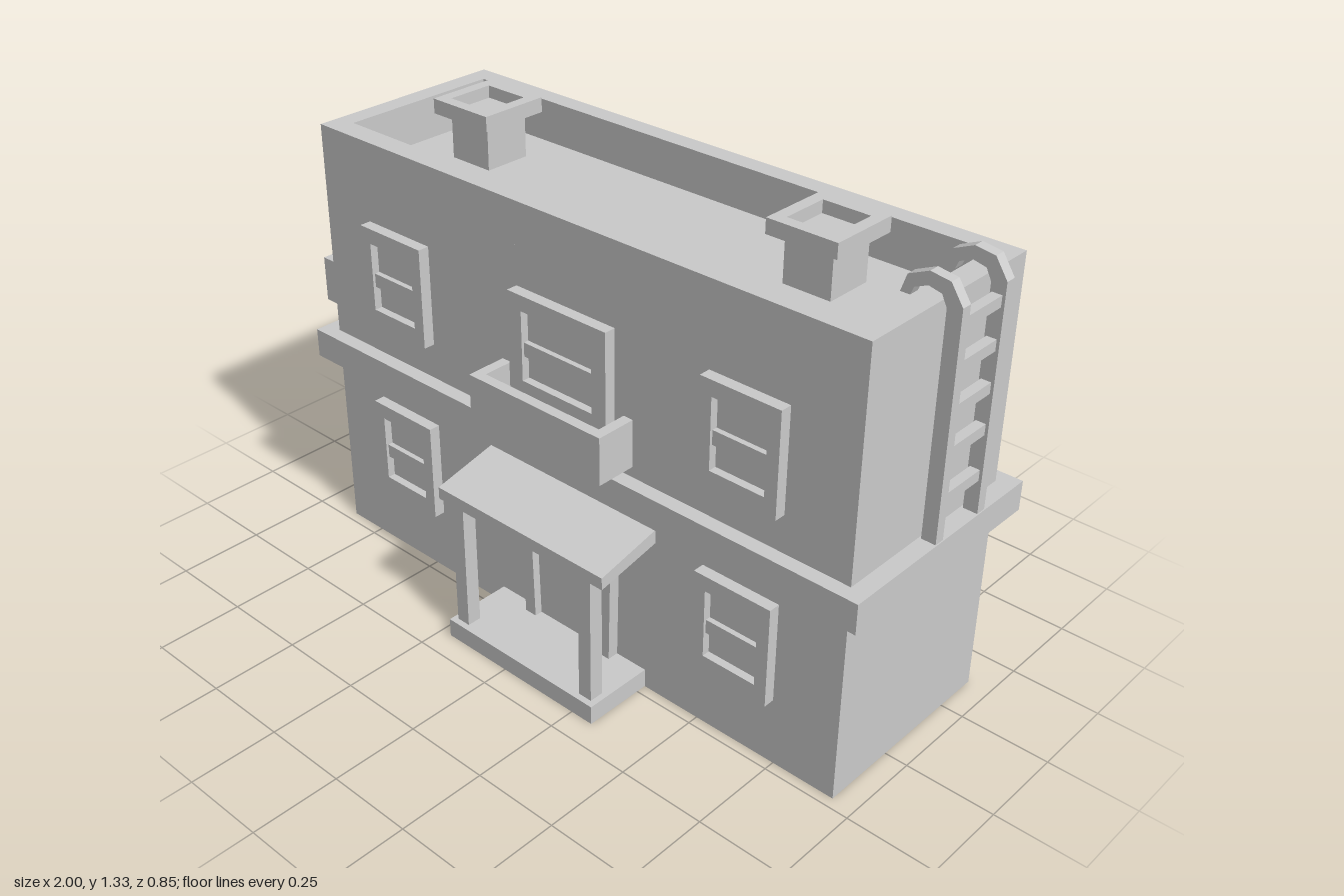
import * as THREE from 'three';

const material = new THREE.MeshStandardMaterial({ color: 0xcccccc, flatShading: true });

// Box given by its minimum and maximum corners
function box(name, [x0, y0, z0], [x1, y1, z1]) {
  const mesh = new THREE.Mesh(new THREE.BoxGeometry(x1 - x0, y1 - y0, z1 - z0), material);
  mesh.name = name;
  mesh.position.set((x0 + x1) / 2, (y0 + y1) / 2, (z0 + z1) / 2);
  return mesh;
}

function rect(PathType, x0, y0, x1, y1) {
  const p = new PathType();
  p.moveTo(x0, y0).lineTo(x1, y0).lineTo(x1, y1).lineTo(x0, y1).closePath();
  return p;
}

function extrude(name, shape, depth) {
  const mesh = new THREE.Mesh(new THREE.ExtrudeGeometry(shape, { depth, bevelEnabled: false }), material);
  mesh.name = name;
  return mesh;
}

function polygon(points) {
  return new THREE.Shape(points.map(([x, y]) => new THREE.Vector2(x, y)));
}

// Rectangular ring lying flat, rising from y0 to y1
function flatRing(name, [x0, z0, x1, z1], [ix0, iz0, ix1, iz1], y0, y1) {
  const shape = rect(THREE.Shape, x0, -z1, x1, -z0);
  shape.holes.push(rect(THREE.Path, ix0, -iz1, ix1, -iz0));
  const mesh = extrude(name, shape, y1 - y0);
  mesh.rotation.x = -Math.PI / 2;
  mesh.position.y = y0;
  return mesh;
}

// Two-pane window facing +z, bottom centre at the origin, back on z = 0
function makeWindow(width) {
  const group = new THREE.Group();
  group.name = 'window';
  const w = width / 2, inner = w - (width > 0.3 ? 0.047 : 0.036);
  const frame = rect(THREE.Shape, -w, 0, w, 0.29);
  frame.holes.push(rect(THREE.Path, -inner, 0.048, inner, 0.246));
  group.add(extrude('windowFrame', frame, 0.033));
  group.add(box('windowBar', [-inner, 0.115, 0], [inner, 0.155, 0.025]));
  group.add(box('windowPane', [-inner, 0.048, 0], [inner, 0.246, 0.01]));
  return group;
}

// Open-topped balcony facing +z, back on z = 0
function makeBalcony(width, depth) {
  const group = new THREE.Group();
  group.name = 'balcony';
  const w = width / 2, t = 0.03;
  group.add(box('balconyFloor', [-w, 0, 0], [w, 0.03, depth]));
  group.add(box('balconyFront', [-w, 0.03, depth - t], [w, 0.135, depth]));
  for (const x of [-w, w - t]) {
    group.add(box('balconySide', [x, 0.03, 0], [x + t, 0.135, depth - t]));
  }
  return group;
}

export function createModel() {
  const model = new THREE.Group();
  model.name = 'building';
  const X0 = -0.87, X1 = 0.935, Z0 = -0.38, Z1 = 0.22, ROOF = 1.14;

  const place = (part, x, y, z, turn = 0) => {
    part.position.set(x, y, z);
    part.rotation.y = turn;
    model.add(part);
  };

  // Walls, parapet and ledge between the storeys
  model.add(box('walls', [X0, 0, Z0], [X1, ROOF, Z1]));
  model.add(flatRing('parapet', [X0, Z0, X1, Z1], [-0.812, -0.323, 0.872, 0.155], ROOF, 1.26));
  model.add(flatRing('ledge', [-0.92, -0.425, 0.985, 0.262], [X0, Z0, X1, Z1], 0.55, 0.635));

  // Windows on the front, back and right walls of both storeys
  for (const y of [0.195, 0.74]) {
    for (const x of [-0.573, 0.622]) place(makeWindow(0.235), x, y, Z1);
    for (const [x, w] of [[-0.565, 0.235], [0.018, 0.335], [0.632, 0.235]]) {
      place(makeWindow(w), x, y, Z0 + 0.008, Math.PI);
    }
    place(makeWindow(0.235), X0, y, -0.07, -Math.PI / 2);
  }
  place(makeWindow(0.335), 0.043, 0.74, Z1);

  // Balconies
  place(makeBalcony(0.455, 0.118), 0.043, 0.665, Z1);
  place(makeBalcony(0.45, 0.13), X0, 0.665, -0.07, -Math.PI / 2);

  // Porch: step, posts and sloping roof
  model.add(box('porchStep', [-0.215, 0, Z1], [0.32, 0.055, 0.425]));
  for (const x of [-0.2, 0.26]) {
    model.add(box('porchPost', [x, 0.055, 0.365], [x + 0.042, 0.46, 0.407]));
  }
  const porchRoof = extrude('porchRoof',
    polygon([[-0.22, 0.475], [-0.415, 0.435], [-0.415, 0.47], [-0.22, 0.515]]), 0.59);
  porchRoof.rotation.y = Math.PI / 2;
  porchRoof.position.x = -0.24;
  model.add(porchRoof);

  // Door with a slightly tapered surround
  const surround = polygon([[-0.092, 0.055], [-0.055, 0.055], [-0.065, 0.418], [0.192, 0.418],
    [0.184, 0.055], [0.22, 0.055], [0.228, 0.455], [-0.103, 0.455]]);
  place(extrude('doorFrame', surround, 0.033), 0, 0, Z1);
  model.add(box('door', [-0.06, 0.055, Z1], [0.188, 0.42, 0.23]));

  // Roof vents: stem with an open square cap
  for (const x of [-0.588, 0.557]) {
    const vent = new THREE.Group();
    vent.name = 'roofVent';
    vent.add(box('ventStem', [-0.07, ROOF, -0.07], [0.07, 1.275, 0.07]));
    vent.add(flatRing('ventCap', [-0.103, -0.103, 0.103, 0.103], [-0.069, -0.069, 0.069, 0.069], 1.268, 1.31));
    place(vent, x, 0, -0.132);
  }

  // Roof ladder: hooked rails and rungs
  const rail = polygon([[0.96, 0.66], [1, 0.66], [1, 1.27], [0.965, 1.322], [0.91, 1.33], [0.855, 1.305],
    [0.84, 1.258], [0.866, 1.258], [0.875, 1.28], [0.91, 1.295], [0.945, 1.287], [0.96, 1.258]]);
  for (const z of [-0.045, -0.22]) place(extrude('ladderRail', rail, 0.03), 0, 0, z);
  for (const y of [0.765, 0.89, 1.0, 1.11, 1.22]) {
    model.add(box('ladderRung', [0.965, y - 0.015, -0.19], [0.992, y + 0.015, -0.045]));
  }

  return model;
}
